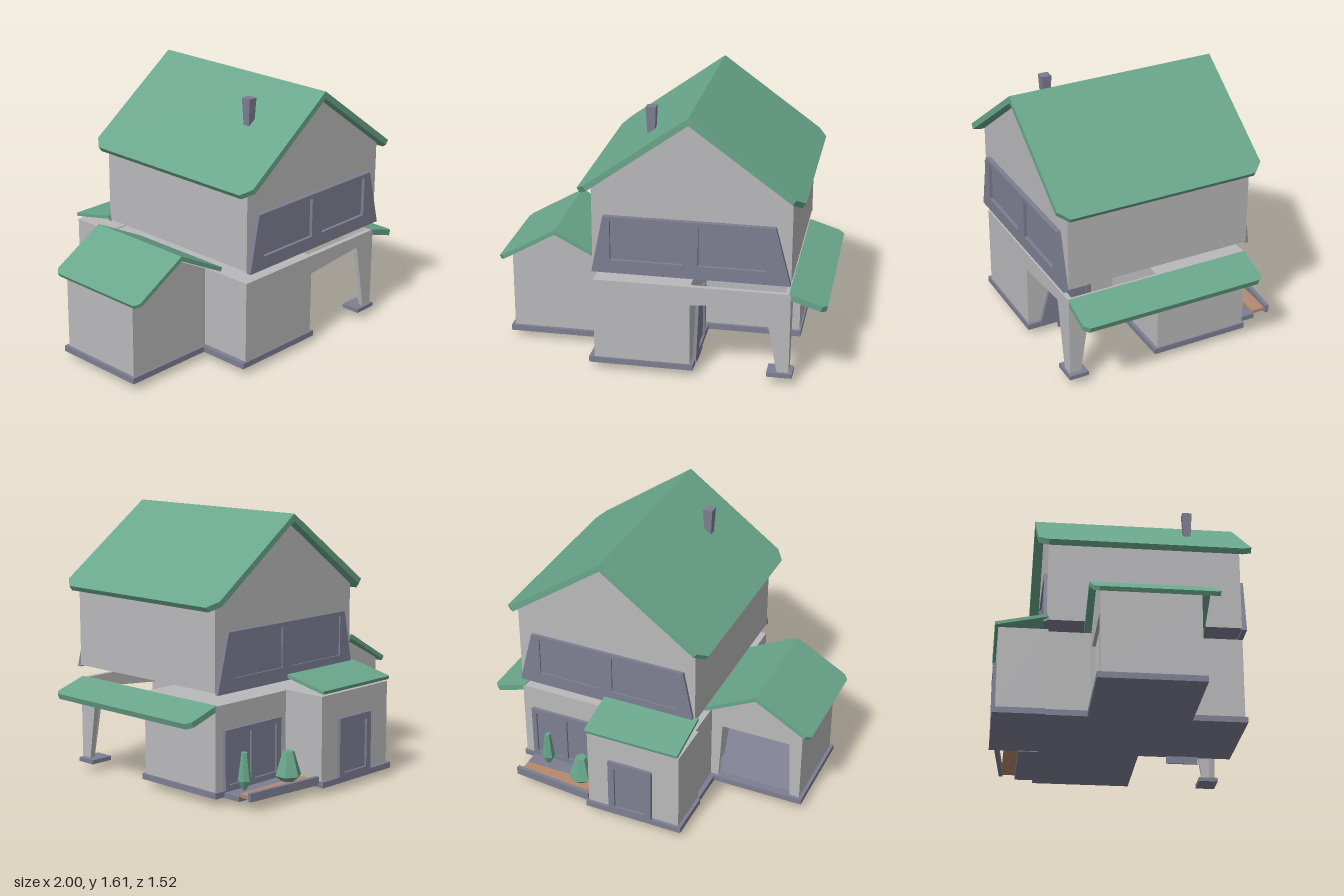
import * as THREE from 'three';

const mat = (name, color) => Object.assign(new THREE.MeshStandardMaterial({ color, side: THREE.DoubleSide }), { name });

export function createModel() {
  const house = new THREE.Group();
  house.name = 'house';
  const wall = mat('wallGrey', 0xb9b9bb);
  const green = mat('roofGreen', 0x69a68b);
  const slate = mat('slateGrey', 0x7d7f92);
  const wood = mat('terraceBrown', 0xb58a70);

  const add = (name, geometry, material, parent = house) => {
    const mesh = new THREE.Mesh(geometry, material);
    mesh.name = name;
    parent.add(mesh);
    return mesh;
  };
  // box from its minimum and maximum corners
  const box = (name, x0, x1, y0, y1, z0, z1, material) => {
    const g = new THREE.BoxGeometry(x1 - x0, y1 - y0, z1 - z0);
    g.translate((x0 + x1) / 2, (y0 + y1) / 2, (z0 + z1) / 2);
    return add(name, g, material);
  };
  const outline = (pts) => pts.map(([x, y]) => new THREE.Vector2(x, y));
  const extrude = (pts, depth, holes = []) => {
    const s = new THREE.Shape(outline(pts));
    holes.forEach((h) => s.holes.push(new THREE.Path(outline(h))));
    return new THREE.ExtrudeGeometry(s, { depth, bevelEnabled: false });
  };
  const rect = (a, b, c, d) => [[a, c], [b, c], [b, d], [a, d]];

  // sloping slab from ridge centre to eave centre, with cut eave corners
  const roofSlab = (name, ridge, eave, width, thick, cut) => {
    const a = new THREE.Vector3(...ridge);
    const u = new THREE.Vector3(...eave).sub(a);
    const len = u.length();
    u.normalize();
    const v = new THREE.Vector3(u.x, 0, u.z).normalize().cross(new THREE.Vector3(0, 1, 0));
    const n = u.clone().cross(v);
    const w = width / 2;
    const g = extrude([[0, -w], [len - cut, -w], [len, -w + cut], [len, w - cut], [len - cut, w], [0, w]], thick);
    g.applyMatrix4(new THREE.Matrix4().makeBasis(u, v, n).setPosition(a));
    add(name, g, green);
  };

  // upper storey with gable ends
  const upper = extrude([[-0.36, 0.65], [0.79, 0.65], [0.79, 1.145], [0.21, 1.565], [-0.36, 1.145]], 1.15);
  upper.translate(0, 0, -0.46);
  add('upperStorey', upper, wall);

  // shallow pointed underside of the upper storey
  const under = new THREE.ConeGeometry(0.575 * Math.SQRT2, 0.07, 4).toNonIndexed();
  under.rotateY(Math.PI / 4);
  under.rotateX(Math.PI);
  under.translate(0.215, 0.615, 0.115);
  under.computeVertexNormals();
  add('upperFloorUnderside', under, slate);

  // main roof and chimney
  roofSlab('mainRoofLeft', [0.21, 1.61, 0.12], [0.86, 1.14, 0.12], 1.28, 0.035, 0.06);
  roofSlab('mainRoofRight', [0.21, 1.61, 0.12], [-0.44, 1.14, 0.12], 1.28, 0.035, 0.06);
  const stack = new THREE.CylinderGeometry(0.042, 0.028, 0.2, 4).toNonIndexed();
  stack.rotateY(Math.PI / 4);
  stack.computeVertexNormals();
  add('chimney', stack, slate).position.set(-0.062, 1.46, 0.42);

  // wide trapezoid windows on both gable ends
  const frameShape = [[-0.36, 0.64], [0.79, 0.64], [0.7, 0.985], [-0.29, 0.985]];
  const paneHoles = [rect(-0.25, 0.17, 0.72, 0.96), rect(0.26, 0.65, 0.72, 0.96)];
  for (const [name, z, depth] of [['frontWindow', 0.69, 0.03], ['backWindow', -0.48, 0.02]]) {
    const win = new THREE.Group();
    win.name = name;
    house.add(win);
    add(name + 'Frame', extrude(frameShape, depth, paneHoles), slate, win).position.z = z;
    const paneZ = z > 0 ? z + 0.004 : z + depth - 0.01;
    paneHoles.forEach((h) => { add(name + 'Pane', extrude(h, 0.006), slate, win).position.z = paneZ; });
  }

  // lower storey: L plan leaving a porch at the front corner
  const lower = extrude([[-0.36, 0.46], [0.79, 0.46], [0.79, -0.12], [0.21, -0.12], [0.21, -0.69], [-0.36, -0.69]], 0.495);
  lower.rotateX(-Math.PI / 2);
  lower.translate(0, 0.08, 0);
  add('lowerStorey', lower, wall);

  // porch screens with tapering corner post
  const screenFront = extrude([[0.21, 0.575], [0.21, 0.46], [0.64, 0.5], [0.72, 0.08], [0.79, 0.08], [0.79, 0.575]], 0.03);
  screenFront.translate(0, 0, 0.66);
  add('porchFront', screenFront, wall);
  const screenSide = extrude([[0.12, 0.575], [0.12, 0.46], [0.56, 0.48], [0.62, 0.08], [0.69, 0.08], [0.69, 0.575]], 0.03);
  screenSide.rotateY(-Math.PI / 2);
  screenSide.translate(0.79, 0, 0);
  add('porchSide', screenSide, wall);
  box('postFoot', 0.66, 0.81, 0.05, 0.075, 0.58, 0.7, slate);
  roofSlab('porchAwning', [0.78, 0.58, 0.115], [1, 0.51, 0.115], 1.15, 0.035, 0.03);

  // entrance door and frame on the porch wall
  const doorFrame = extrude([[0.62, 0.06], [0.52, 0.42], [0.28, 0.42], [0.28, 0.06]], 0.02, [rect(0.31, 0.5, 0.09, 0.39)]);
  doorFrame.rotateY(-Math.PI / 2);
  doorFrame.translate(0.235, 0, 0);
  add('entranceFrame', doorFrame, slate);
  box('entranceDoor', 0.212, 0.222, 0, 0.39, 0.31, 0.5, slate);

  // side garage: gable walls, rear opening, tilted door
  const gable = [[-0.94, 0.08], [-0.36, 0.08], [-0.36, 0.57], [-0.65, 0.72], [-0.94, 0.57]];
  add('garageFrontWall', extrude(gable, 0.02), wall).position.z = 0.34;
  const rear = [[-0.94, 0.08], [-0.88, 0.08], [-0.86, 0.46], [-0.43, 0.46], [-0.41, 0.08], ...gable.slice(1)];
  add('garageRearWall', extrude(rear, 0.02), wall).position.z = -0.2;
  box('garageSideWall', -0.94, -0.92, 0.08, 0.57, -0.2, 0.36, wall);
  const garageDoor = box('garageDoor', -0.87, -0.42, -0.2, 0.2, -0.01, 0.01, slate);
  garageDoor.position.set(0, 0.27, -0.09);
  garageDoor.rotation.x = 0.4;
  roofSlab('garageRoofRight', [-0.65, 0.765, 0.11], [-1, 0.565, 0.11], 0.7, 0.025, 0.03);
  roofSlab('garageRoofLeft', [-0.65, 0.765, 0.11], [-0.31, 0.59, 0.11], 0.7, 0.025, 0.01);

  // rear extension with lean-to roof and door
  box('rearExtension', -0.38, 0.21, 0.08, 0.58, -0.74, -0.45, wall);
  roofSlab('rearRoof', [-0.08, 0.68, -0.455], [-0.08, 0.615, -0.76], 0.6, 0.02, 0.005);
  add('rearDoorFrame', extrude(rect(-0.21, 0.07, 0.08, 0.43), 0.02, [rect(-0.17, 0.03, 0.1, 0.39)]), slate).position.z = -0.76;
  box('rearDoor', -0.17, 0.03, 0.1, 0.39, -0.747, -0.741, slate);

  // terrace with glazed door, planter board and shrubs
  add('terraceDoorFrame', extrude(rect(0.27, 0.73, 0.08, 0.43), 0.02, [rect(0.31, 0.49, 0.11, 0.4), rect(0.52, 0.7, 0.11, 0.4)]), slate).position.z = -0.48;
  box('terraceDoorGlass', 0.3, 0.71, 0.1, 0.41, -0.467, -0.461, slate);
  box('terraceFloor', 0.21, 0.73, 0.04, 0.07, -0.585, -0.46, slate);
  box('terraceBoard', 0.21, 0.72, 0.065, 0.085, -0.67, -0.58, wood);
  const rim = box('terraceRim', -0.255, 0.265, -0.025, 0.025, -0.012, 0.012, slate);
  rim.position.set(0.475, 0.085, -0.695);
  rim.rotation.y = -0.09;
  const shrub = (name, r, h, x, z) => {
    const pts = outline([[0.3 * r, 0], [r, 0.25 * h], [0.45 * r, h], [0, h]]);
    const g = new THREE.LatheGeometry(pts, 6).toNonIndexed();
    g.computeVertexNormals();
    add(name, g, green).position.set(x, 0.07, z);
  };
  shrub('roundShrub', 0.078, 0.19, 0.335, -0.595);
  shrub('tallShrub', 0.04, 0.22, 0.61, -0.51);

  // foundation plates
  const plates = [[-0.39, 0.23, 0.1, 0.7], [-0.39, 0.8, -0.47, 0.14], [-0.4, 0.22, -0.76, -0.46], [-0.96, -0.36, -0.22, 0.38]];
  plates.forEach(([x0, x1, z0, z1], i) => box('foundation' + (i + 1), x0, x1, 0.045, 0.08, z0, z1, slate));

  return house;
}
